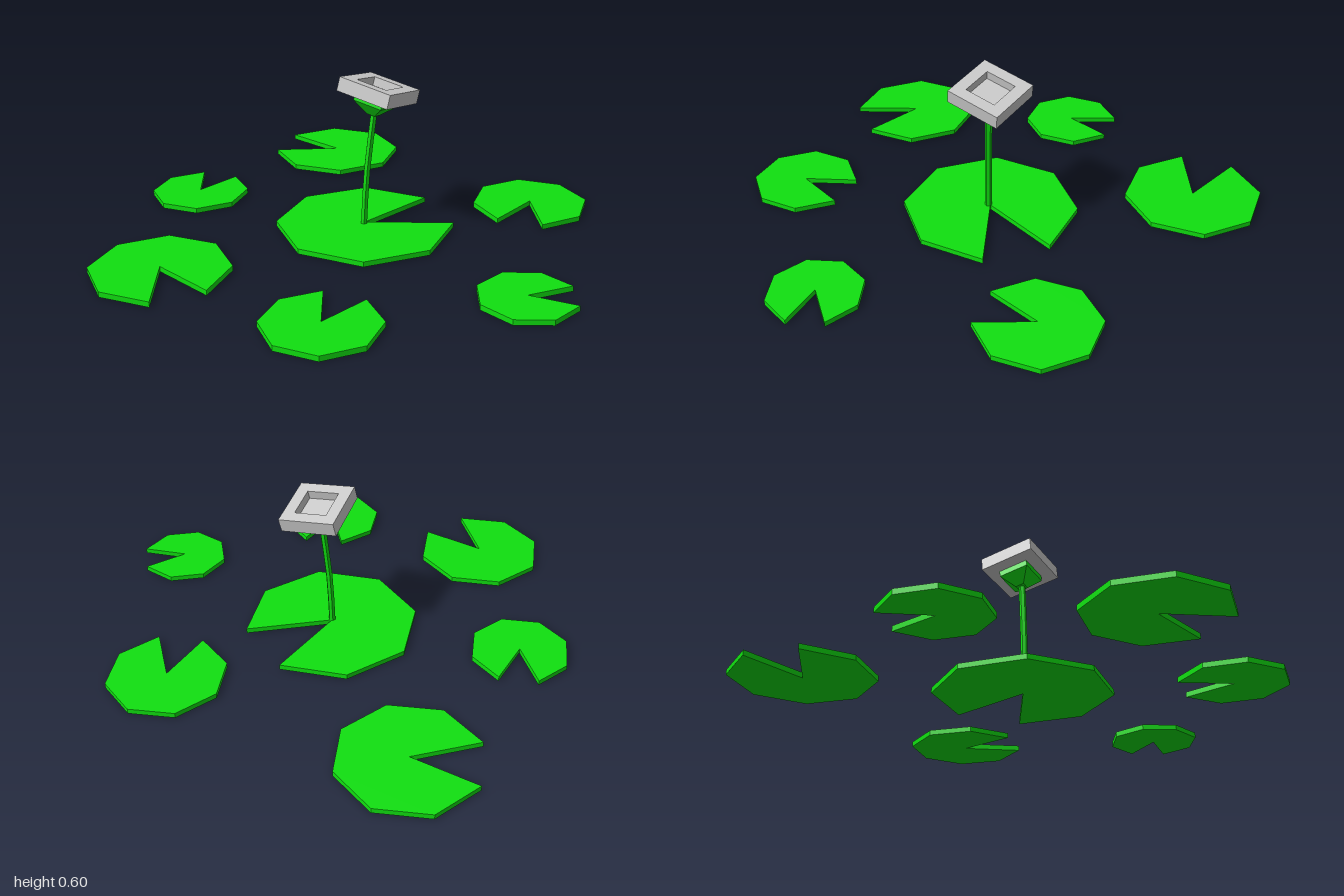
import * as THREE from 'three';

const PAD_THICKNESS = 0.02;
const green = new THREE.MeshStandardMaterial({ color: 0x10e010, flatShading: true });
const grey = new THREE.MeshStandardMaterial({ color: 0xcccccc, flatShading: true });

function addMesh(parent, name, geometry, material) {
  const mesh = new THREE.Mesh(geometry, material);
  mesh.name = name;
  parent.add(mesh);
  return mesh;
}

// Octagonal leaf with one wedge left out, starting at the wedge's far edge (degrees, x towards z)
function padGeometry(radius, startDegrees) {
  const shape = new THREE.Shape();
  shape.moveTo(0, 0);
  for (let i = 0; i < 8; i++) {
    const a = THREE.MathUtils.degToRad(startDegrees + i * 45);
    shape.lineTo(radius * Math.cos(a), radius * Math.sin(a));
  }
  shape.closePath();
  const geometry = new THREE.ExtrudeGeometry(shape, { depth: PAD_THICKNESS, bevelEnabled: false });
  return geometry.rotateX(Math.PI / 2).translate(0, PAD_THICKNESS, 0);
}

// Four-sided solid from a half-diagonal profile, listed from the bottom centre to the top centre
function squareLathe(profile) {
  const points = profile.map(([r, y]) => new THREE.Vector2(r, y));
  return new THREE.LatheGeometry(points, 4, Math.PI / 4);
}

export function createModel() {
  const model = new THREE.Group();
  model.name = 'waterLily';

  // Floating leaves: x, z, radius, start angle
  const pads = [
    [0.04, 0.045, 0.335, 0],
    [-0.093, -0.737, 0.265, 220],
    [-0.63, -0.253, 0.19, 311],
    [0.69, -0.167, 0.224, 130],
    [-0.665, 0.43, 0.252, 87],
    [-0.087, 0.793, 0.203, 314],
    [0.583, 0.607, 0.175, 22.5],
  ];
  pads.forEach(([x, z, radius, start], i) => {
    const pad = addMesh(model, i === 0 ? 'centralPad' : `outerPad${i}`, padGeometry(radius, start), green);
    pad.position.set(x, 0, z);
  });

  // Gently bent stem
  const path = new THREE.CatmullRomCurve3([
    new THREE.Vector3(0.037, 0.006, 0.053),
    new THREE.Vector3(0.047, 0.22, 0.05),
    new THREE.Vector3(0.073, 0.465, 0.045),
  ]);
  addMesh(model, 'stem', new THREE.TubeGeometry(path, 4, 0.013, 6), green);

  // Tilted flower head, its origin at the middle of the top face
  const flower = new THREE.Group();
  flower.name = 'flower';
  flower.position.set(0.094, 0.566, 0.036);
  flower.quaternion.setFromUnitVectors(
    new THREE.Vector3(0, 1, 0),
    new THREE.Vector3(0.217, 0.973, -0.067).normalize(),
  );
  flower.rotateY(THREE.MathUtils.degToRad(-32));
  model.add(flower);

  // Square blossom with a recessed middle
  addMesh(flower, 'blossom', squareLathe([
    [0, -0.053], [0.153, -0.053], [0.153, 0], [0.088, 0], [0.088, -0.033], [0, -0.033],
  ]), grey);

  // Calyx tapering down to the stem
  addMesh(flower, 'calyx', squareLathe([
    [0, -0.12], [0.024, -0.12], [0.084, -0.077], [0.084, -0.052], [0, -0.052],
  ]), green);

  return model;
}
